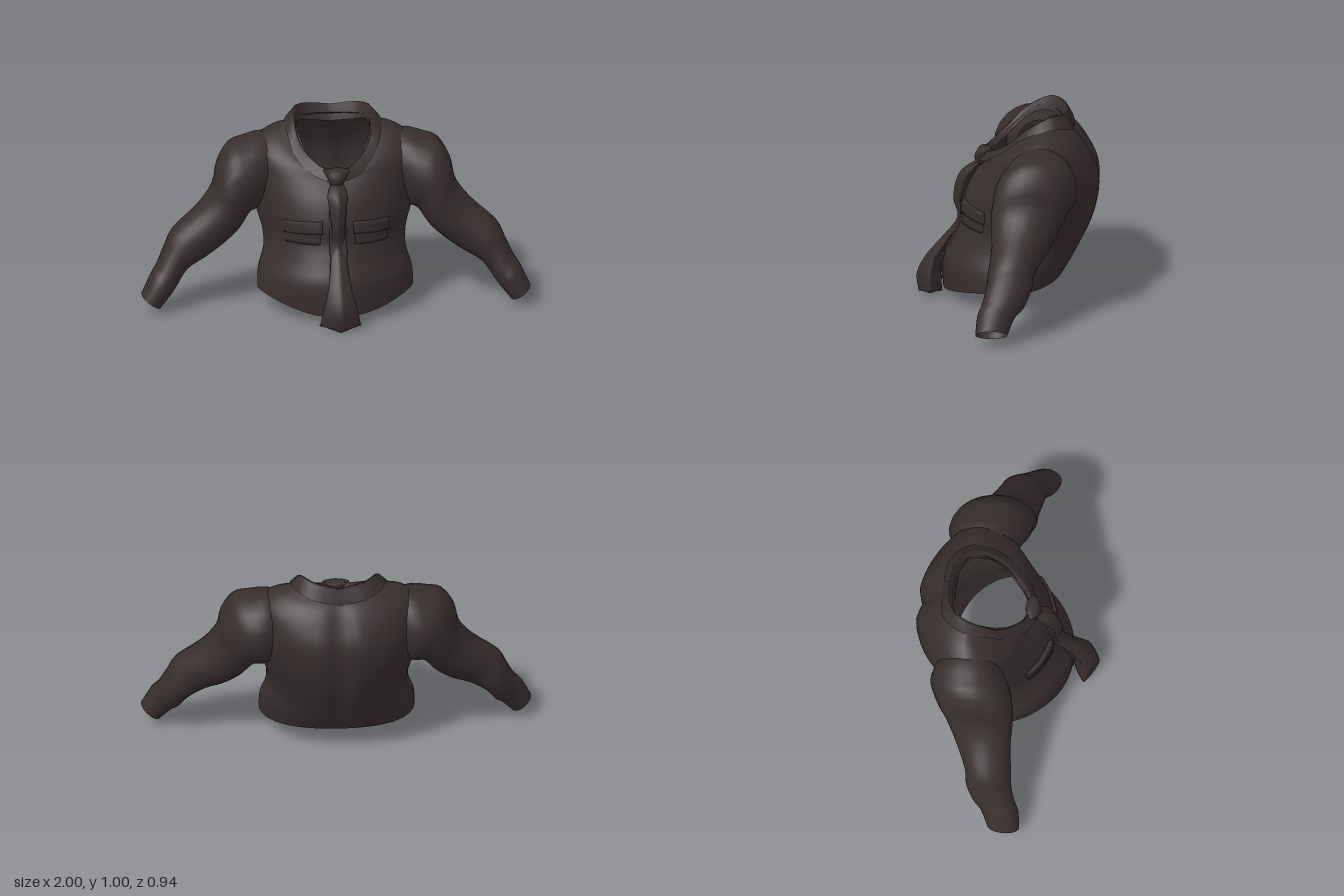
import * as THREE from 'three';

const cloth = new THREE.MeshStandardMaterial({ color: 0x372d2d, side: THREE.DoubleSide });
cloth.name = 'dark cloth';

// Catmull-Rom through rows of numbers, t from 0 to 1
function sample(rows, t) {
  const f = Math.min(Math.max(t, 0), 1) * (rows.length - 1);
  const i = Math.min(Math.floor(f), rows.length - 2), u = f - i;
  const at = k => rows[Math.min(Math.max(k, 0), rows.length - 1)];
  const [a, b, c, d] = [at(i - 1), at(i), at(i + 1), at(i + 2)];
  return b.map((_, k) => b[k] + 0.5 * u * (c[k] - a[k] + u * (2 * a[k] - 5 * b[k] + 4 * c[k] - d[k]
    + u * (3 * (b[k] - c[k]) + d[k] - a[k]))));
}

// Smooth skin over a list of cross-sections; closed joins each section into a loop
function loft(name, rings, closed = true) {
  const n = rings[0].length, index = [];
  for (let r = 0; r < rings.length - 1; r++) {
    for (let i = 0; i < (closed ? n : n - 1); i++) {
      const a = r * n + i, b = r * n + (i + 1) % n;
      index.push(a, b, b + n, a, b + n, a + n);
    }
  }
  const geometry = new THREE.BufferGeometry();
  geometry.setAttribute('position', new THREE.Float32BufferAttribute(rings.flat(2), 3));
  geometry.setIndex(index);
  geometry.computeVertexNormals();
  const mesh = new THREE.Mesh(geometry, cloth);
  mesh.name = name;
  return mesh;
}

const range = (n, fn) => Array.from({ length: n }, (_, i) => fn(i));

// Torso rows: y front, y side, y back, half width, z front, z back, z of widest point
const TORSO = [
  [0.04, 0.105, 0.13, 0.40, 0.335, -0.28, 0.03],
  [0.20, 0.20, 0.20, 0.395, 0.335, -0.325, 0.01],
  [0.30, 0.30, 0.30, 0.365, 0.29, -0.38, -0.02],
  [0.40, 0.40, 0.40, 0.37, 0.245, -0.43, -0.06],
  [0.50, 0.50, 0.50, 0.40, 0.235, -0.46, -0.09],
  [0.60, 0.60, 0.60, 0.42, 0.20, -0.475, -0.11],
  [0.67, 0.71, 0.70, 0.43, 0.155, -0.465, -0.13],
  [0.71, 0.835, 0.79, 0.41, 0.12, -0.42, -0.15],
  [0.73, 0.90, 0.86, 0.33, 0.11, -0.37, -0.17],
  [0.735, 0.928, 0.90, 0.25, 0.105, -0.32, -0.18],
  [0.74, 0.95, 0.935, 0.19, 0.10, -0.275, -0.17],
];

// The front narrows towards the middle, and rounds out at the neck
const taper = t => 1.4 - 0.4 * THREE.MathUtils.smoothstep(t, 0.5, 0.8);

function torsoPoint(t, angle) {
  const [yf, ys, yb, w, zf, zb, zs] = sample(TORSO, t);
  const c = Math.cos(angle), x = w * Math.sin(angle);
  const k = Math.pow(Math.abs(c), 3 - 1.8 * t);
  let z = c > 0 ? zs + (zf - zs) * Math.pow(c, taper(t)) : zs + (zs - zb) * c;
  // Groove down the spine
  if (c < 0) z += 0.035 * Math.exp(-((x / 0.05) ** 2)) * Math.sin(Math.PI * t);
  return [x, ys + ((c > 0 ? yf : yb) - ys) * k, z];
}

// Depth of the chest at a point between hem and breast
function chestZ(x, y) {
  const t = y < 0.2 ? (y - 0.04) / 1.6 : y - 0.1;
  const [, , , w, zf, , zs] = sample(TORSO, t);
  return zs + (zf - zs) * Math.pow(1 - (x / w) ** 2, taper(t) / 2);
}

// Raised patch lying on the chest, with edges turned in to the cloth
function patch(name, x0, x1, yLow, yHigh, slope, lift) {
  const nx = 11, ny = 9;
  return loft(name, range(ny, j => range(nx, i => {
    const rim = i === 0 || j === 0 || i === nx - 1 || j === ny - 1;
    const u = Math.min(Math.max((i - 1) / (nx - 3), 0), 1);
    const v = Math.min(Math.max((j - 1) / (ny - 3), 0), 1);
    const x = x0 + (x1 - x0) * u;
    const y = yLow + (yHigh - yLow) * v + slope * (u - 0.5);
    return [x, y, chestZ(x, y) + (rim ? -0.003 : lift)];
  })), false);
}

// Sleeve rows: top x, top y, bottom x, bottom y, z front, z back
const SLEEVE = [
  [0.22, 0.85, 0.33, 0.50, -0.03, -0.29],
  [0.36, 0.882, 0.375, 0.485, 0.025, -0.345],
  [0.46, 0.862, 0.40, 0.48, 0.06, -0.352],
  [0.54, 0.835, 0.43, 0.47, 0.075, -0.33],
  [0.60, 0.74, 0.46, 0.43, 0.085, -0.295],
  [0.625, 0.63, 0.50, 0.38, 0.085, -0.255],
  [0.70, 0.53, 0.58, 0.315, 0.085, -0.20],
  [0.83, 0.42, 0.665, 0.265, 0.10, -0.14],
  [0.872, 0.34, 0.755, 0.21, 0.11, -0.125],
  [0.915, 0.25, 0.81, 0.135, 0.135, -0.085],
  [0.95, 0.20, 0.84, 0.10, 0.155, -0.04],
  [1.00, 0.10, 0.90, 0.03, 0.165, 0.0],
];

function sleeve(name, side) {
  return loft(name, range(34, r => {
    const [tx, ty, bx, by, zf, zb] = sample(SLEEVE, r / 33);
    return range(24, i => {
      const a = side * i / 24 * Math.PI * 2, k = 0.5 + 0.5 * Math.cos(a);
      return [side * (bx + (tx - bx) * k), by + (ty - by) * k,
        (zf + zb) / 2 + (zf - zb) / 2 * Math.sin(a)];
    });
  }));
}

// Folded collar, from front to back centre: inner foot, top fold and outer edge
const COLLAR = [
  [0.03, 0.73, 0.10, 0.02, 0.765, 0.125, 0.05, 0.715, 0.15],
  [0.08, 0.75, 0.07, 0.09, 0.785, 0.08, 0.13, 0.745, 0.105],
  [0.155, 0.82, -0.02, 0.165, 0.845, -0.01, 0.205, 0.815, 0.02],
  [0.185, 0.89, -0.10, 0.195, 0.925, -0.09, 0.24, 0.895, -0.08],
  [0.175, 0.92, -0.20, 0.185, 0.995, -0.21, 0.24, 0.94, -0.22],
  [0.11, 0.90, -0.26, 0.12, 0.99, -0.28, 0.15, 0.915, -0.325],
  [0.00, 0.89, -0.27, 0.00, 0.97, -0.305, 0.00, 0.88, -0.338],
];

function collar() {
  const n = 20;
  return loft('collar', range(2 * n + 1, r => {
    const s = r <= n ? 1 : -1;
    const k = sample(COLLAR, (r <= n ? r : 2 * n - r) / n);
    const p = j => [s * k[j], k[j + 1], k[j + 2]];
    const rise = p(3).map((v, i) => v + (p(6)[i] - v) * 0.25 + (i === 1 ? 0.01 : 0));
    return [p(0), p(3), rise, p(6)];
  }), false);
}

// Tie rows: y, half width, z front, z back
const TIE = [
  [0.004, 0.108, 0.46, 0.34],
  [0.10, 0.09, 0.47, 0.345],
  [0.20, 0.063, 0.42, 0.34],
  [0.30, 0.045, 0.335, 0.28],
  [0.40, 0.035, 0.262, 0.225],
  [0.50, 0.034, 0.283, 0.225],
  [0.60, 0.045, 0.268, 0.19],
  [0.66, 0.052, 0.235, 0.16],
  [0.70, 0.032, 0.175, 0.13],
];
const KNOT = [
  [0.69, 0.03, 0.165, 0.11],
  [0.73, 0.05, 0.175, 0.09],
  [0.77, 0.07, 0.155, 0.09],
];

// Closed strip whose section runs from diamond (power 2) to round (power 1)
function band(name, rows, steps, power, tipRise) {
  const bend = v => Math.sign(v) * Math.pow(Math.abs(v), power);
  const rings = range(steps + 1, r => {
    const [y, w, zf, zb] = sample(rows, r / steps);
    return range(16, i => {
      const a = i / 16 * Math.PI * 2, s = bend(Math.sin(a));
      const tip = r === 0 ? tipRise * Math.abs(s) : 0;
      return [w * s, y + tip, (zf + zb) / 2 + (zf - zb) / 2 * bend(Math.cos(a))];
    });
  });
  const cap = ring => ring.map(() => [0, ring[0][1], (ring[0][2] + ring[8][2]) / 2]);
  return loft(name, [cap(rings[0]), ...rings, cap(rings[steps])]);
}

export function createModel() {
  const group = new THREE.Group();
  group.name = 'shirt';
  group.add(loft('torso', range(41, r => range(64, i => torsoPoint(r / 40, i / 64 * Math.PI * 2)))));
  group.add(sleeve('leftSleeve', 1), sleeve('rightSleeve', -1));
  group.add(collar());
  group.add(patch('placket', -0.045, 0.045, 0.08, 0.58, 0, 0.008));
  // Chest pockets with flaps
  for (const [label, s] of [['left', 1], ['right', -1]]) {
    group.add(patch(label + 'Pocket', s * 0.09, s * 0.262, 0.40, 0.50, -0.01, 0.012));
    group.add(patch(label + 'PocketFlap', s * 0.08, s * 0.27, 0.455, 0.515, -0.02, 0.018));
  }
  // Tie blade and knot
  group.add(band('tie', TIE, 32, 1.7, 0.025));
  group.add(band('tieKnot', KNOT, 6, 1.2, 0));
  return group;
}
